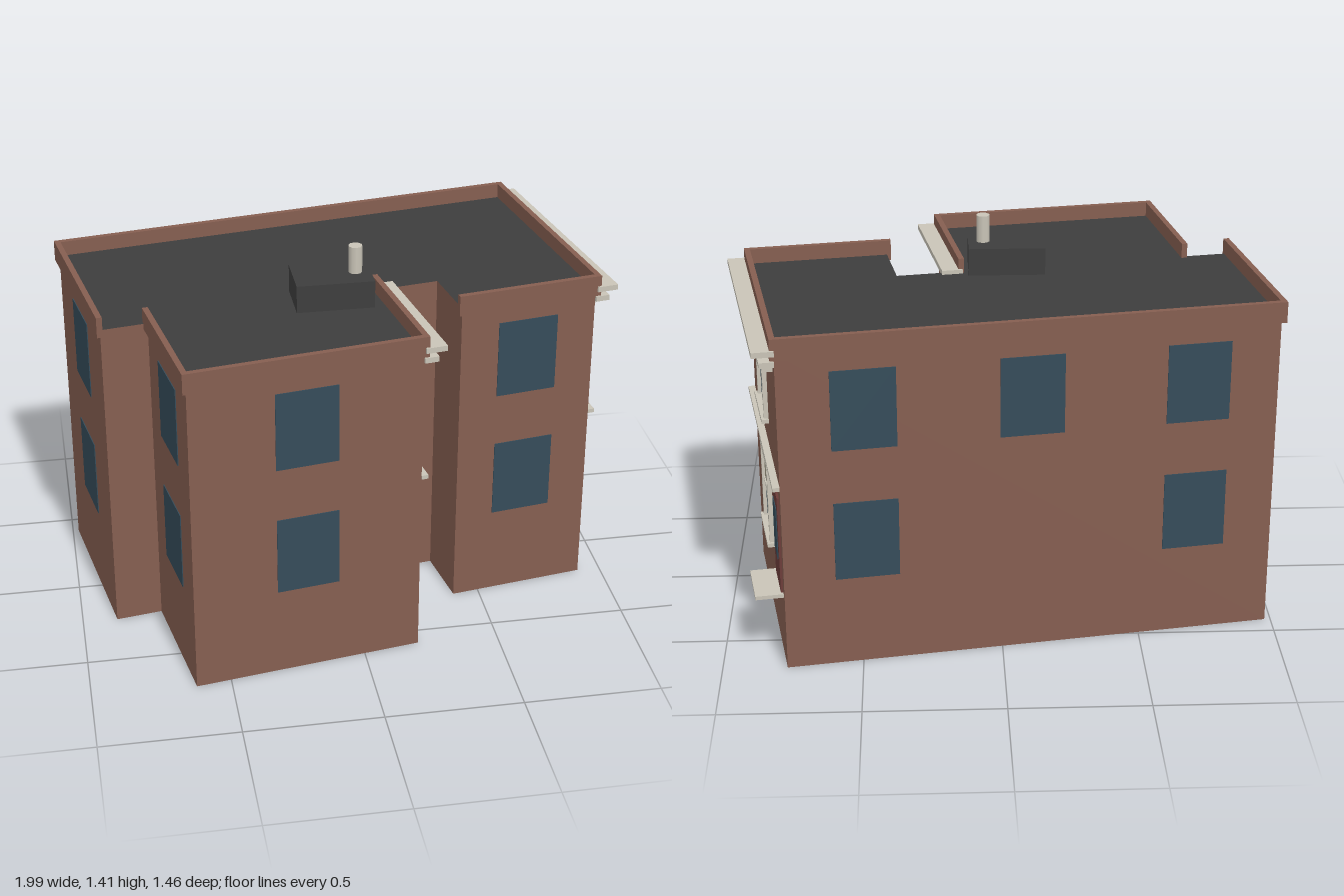
import * as THREE from 'three';

const mat = (name, color) => {
  const m = new THREE.MeshStandardMaterial({ color });
  m.name = name;
  return m;
};

export function createModel() {
  const brick = mat('brick', 0x855e50);
  const roofing = mat('roofing', 0x3d3d3d);
  const stone = mat('pale stone', 0xc9c4b7);
  const glass = mat('dark glass', 0x354c5a);
  const sky = mat('bright glass', 0x758da2);
  const blind = mat('blind', 0xa09a84);
  const doorRed = mat('door red', 0x6b3c39);

  const root = new THREE.Group();
  const house = new THREE.Group();
  house.name = 'house';
  house.rotation.y = 0.159; // the plan stands slightly askew
  root.add(house);

  // box from a centre along the wall, a height range and a depth range
  const box = (parent, name, m, u, width, y0, y1, w0, w1) => {
    const mesh = new THREE.Mesh(new THREE.BoxGeometry(width, y1 - y0, w1 - w0), m);
    mesh.position.set(u, (y0 + y1) / 2, (w0 + w1) / 2);
    mesh.name = name;
    parent.add(mesh);
    return mesh;
  };

  // group lying on a wall: local x runs along it, local z points outwards
  const onWall = (name, x, z, turn) => {
    const g = new THREE.Group();
    g.name = name;
    g.position.set(x, 0, z);
    g.rotation.y = turn;
    house.add(g);
    return g;
  };

  // walls with flat roof and underside
  const plan = [
    [-0.9, -0.565], [0.87, -0.565], [0.87, 0.345], [0.352, 0.345], [0.352, 0.1],
    [0.11, 0.1], [0.11, 0.603], [-0.73, 0.603], [-0.73, 0.1], [-0.9, 0.1],
  ];
  const outline = new THREE.Shape(plan.map(([x, z]) => new THREE.Vector2(x, -z)));
  const wallGeo = new THREE.ExtrudeGeometry(outline, { depth: 1.205, bevelEnabled: false });
  wallGeo.rotateX(-Math.PI / 2);
  const walls = new THREE.Mesh(wallGeo, [roofing, brick]);
  walls.name = 'wallsAndRoof';
  house.add(walls);

  // parapet bands along the outer edges; the recessed edges have none
  const RIGHT = Math.PI / 2, LEFT = -Math.PI / 2, BACK = Math.PI, FRONT = 0;
  [
    [-0.015, -0.565, BACK, 1.8],
    [0.87, -0.11, RIGHT, 0.94],
    [0.611, 0.345, FRONT, 0.548],
    [0.11, 0.3515, RIGHT, 0.533],
    [-0.31, 0.603, FRONT, 0.87],
    [-0.73, 0.3515, LEFT, 0.533],
    [-0.9, -0.2325, LEFT, 0.695],
  ].forEach(([x, z, turn, length]) =>
    box(onWall('parapet', x, z, turn), 'parapetBand', brick, 0, length, 1.183, 1.26, -0.006, 0.015));

  // plain windows on the front, back and left walls
  [
    [-0.31, 0.603, FRONT, 2], [0.611, 0.345, FRONT, 2],
    [0.574, -0.565, BACK, 2], [-0.015, -0.565, BACK, 1], [-0.61, -0.565, BACK, 2],
    [-0.9, -0.235, LEFT, 2], [-0.73, 0.35, LEFT, 2],
  ].forEach(([x, z, turn, floors]) => {
    const g = onWall('plainWindows', x, z, turn);
    box(g, 'upperWindow', glass, 0, 0.228, 0.83, 1.125, -0.002, 0.003);
    if (floors === 2) box(g, 'lowerWindow', glass, 0, 0.228, 0.335, 0.63, -0.002, 0.003);
  });

  // framed sash window whose upper part is a blind or bright glass
  const sashWindow = (g, y, topMat, topFrom) => {
    box(g, 'sashGlass', glass, 0, 0.22, y + 0.01, y + 0.3, -0.002, 0.003);
    box(g, 'sashTopPane', topMat, 0, 0.21, y + topFrom, y + 0.295, 0, 0.005);
    for (const s of [-1, 1]) box(g, 'frameSide', stone, s * 0.1145, 0.016, y, y + 0.31, 0, 0.016);
    box(g, 'frameTop', stone, 0, 0.245, y + 0.295, y + 0.31, 0, 0.017);
    box(g, 'meetingRail', stone, 0, 0.22, y + 0.152, y + 0.162, 0, 0.01);
    box(g, 'glazingBar', stone, 0, 0.009, y, y + 0.3, 0, 0.009);
    box(g, 'sill', stone, 0, 0.268, y - 0.015, y, 0, 0.026);
  };

  // the two ornate facades, facing the model's left
  const facade = (name, x, z, length, o) => {
    const g = onWall(name, x, z, RIGHT);
    box(g, 'topCornice', stone, 0, length + 0.045, 1.2, 1.22, 0, 0.077);
    box(g, 'lowerCornice', stone, 0, length + 0.02, 1.157, 1.177, 0, 0.052);
    box(g, 'stringCourse', stone, 0, length + 0.004, 0.695, 0.71, 0, 0.025);
    o.brackets.forEach((bz) => box(g, 'bracket', stone, z - bz, 0.024, 1.112, 1.157, 0, 0.036));
    sashWindow(g, 0.825, o.upper, 0.172);
    sashWindow(g, 0.333, o.lower, o.lowerFrom);
    const u = z - o.doorZ, y = o.doorY;
    box(g, 'door', doorRed, u, 0.172, y, y + 0.367, 0, 0.0085);
    box(g, 'doorGlass', glass, u, 0.105, y + 0.115, y + 0.312, 0.004, 0.0115);
    box(g, 'doorstep', stone, u, 0.2, y - 0.014, y, 0, 0.1);
  };
  facade('mainFacade', 0.87, -0.11, 0.91, {
    brackets: [0, 1, 2, 3, 4, 5, 6].map((i) => 0.266 - i * 0.1255),
    upper: sky, lower: blind, lowerFrom: 0.127, doorZ: -0.435, doorY: 0.28,
  });
  facade('wingFacade', 0.11, 0.3515, 0.503, {
    brackets: [0.185, 0.311, 0.436],
    upper: blind, lower: sky, lowerFrom: 0.16, doorZ: 0.241, doorY: 0.226,
  });

  // rooftop box and vent pipe
  box(root, 'roofBox', roofing, -0.04, 0.28, 1.2, 1.307, 0.035, 0.222);
  const pipeGeo = new THREE.CylinderGeometry(0.025, 0.025, 0.11, 10);
  const pipe = new THREE.Mesh(pipeGeo, stone);
  pipe.name = 'ventPipe';
  pipe.position.set(0.045, 1.353, 0.128);
  root.add(pipe);

  return root;
}
